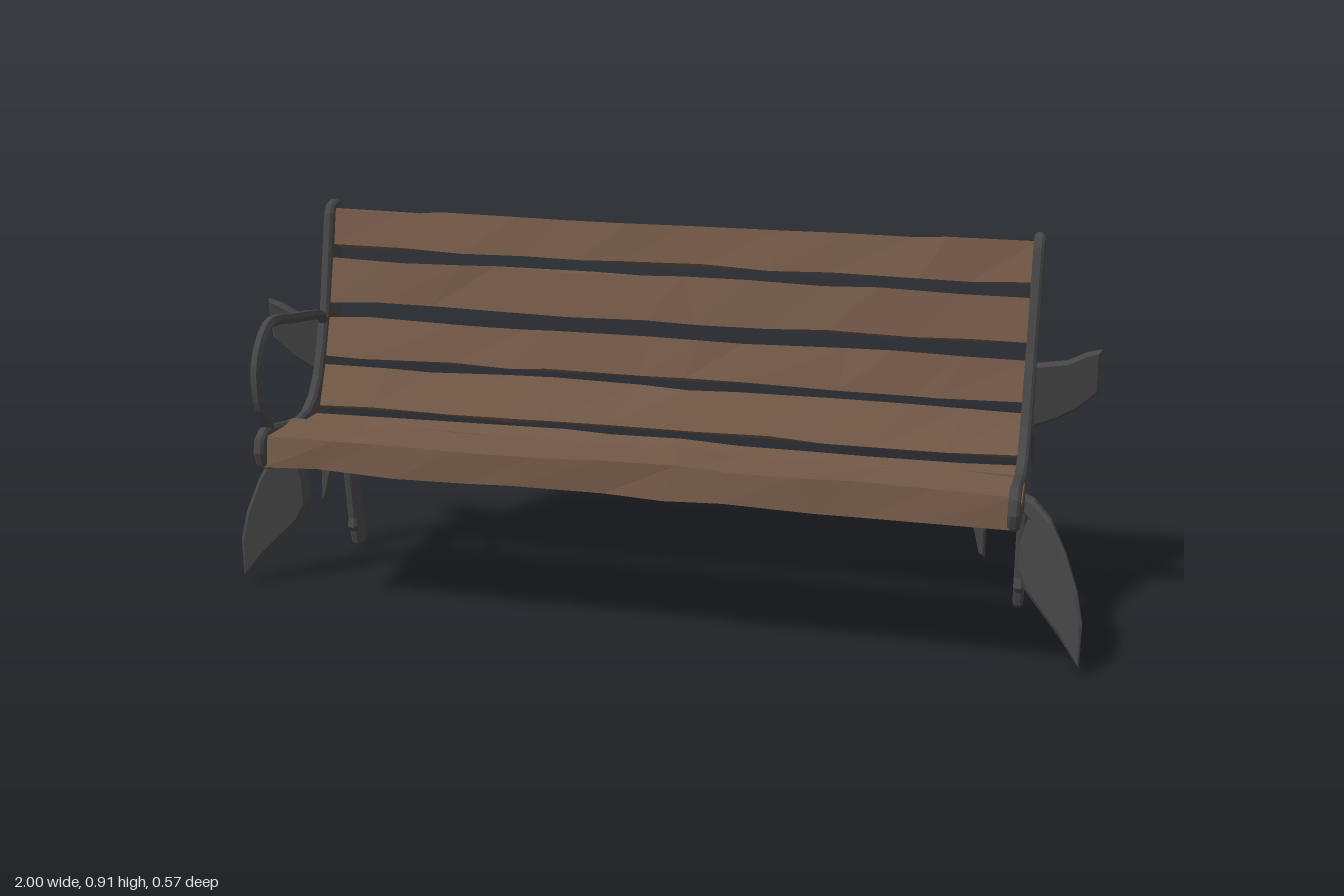
import * as THREE from 'three';

const iron = new THREE.MeshStandardMaterial({ color: 0x464647, flatShading: true });
iron.name = 'dark iron';
const wood = new THREE.MeshStandardMaterial({ color: 0x745a48, flatShading: true });
wood.name = 'weathered wood';

// repeatable noise in -1..1 for a position
function noise(x, y, z, seed) {
  const s = Math.sin(x * 127.1 + y * 311.7 + z * 74.7 + seed * 53.3) * 43758.5453;
  return (s - Math.floor(s)) * 2 - 1;
}

function add(parent, name, geometry, material) {
  const mesh = new THREE.Mesh(geometry, material);
  mesh.name = name;
  parent.add(mesh);
  return mesh;
}

// plate with softened edges, centred on its thickness
function plate(points, thickness, bevel) {
  const shape = new THREE.Shape(points.map(p => new THREE.Vector2(p[0], p[1])));
  const geo = new THREE.ExtrudeGeometry(shape, {
    depth: thickness - 2 * bevel, bevelThickness: bevel, bevelSize: bevel,
    bevelOffset: -bevel, bevelSegments: 1,
  });
  return geo.translate(0, 0, bevel - thickness / 2);
}

// move each vertex in z by a rule
function shearZ(geo, rule) {
  const p = geo.attributes.position;
  for (let i = 0; i < p.count; i++) p.setZ(i, p.getZ(i) + rule(p.getX(i), p.getY(i)));
  geo.computeVertexNormals();
  return geo;
}

// worn board: a segmented box with uneven edges
function board(length, height, depth, seed) {
  const geo = new THREE.BoxGeometry(length, height, depth, 11, 1, 1);
  const p = geo.attributes.position;
  for (let i = 0; i < p.count; i++) {
    const x = p.getX(i), y = p.getY(i), z = p.getZ(i);
    const kx = Math.round(x * 100), ky = Math.sign(y), kz = Math.sign(z);
    const inner = Math.abs(x) < length / 2 - 0.01 ? 1 : 0;
    p.setXYZ(i,
      x + inner * 0.05 * noise(kx, ky, kz, seed),
      y + 0.005 * noise(kx, ky, kz, seed + 1),
      z + 0.004 * noise(kx, ky, kz, seed + 2));
  }
  geo.computeVertexNormals();
  return geo;
}

// side frame outline as [z, y]
const FRAME = [
  [-0.2, 0.912], [-0.18, 0.905], [-0.166, 0.885], [-0.15, 0.82], [-0.112, 0.66], [-0.095, 0.62],
  [-0.075, 0.565], [-0.05, 0.51], [-0.02, 0.47], [0.02, 0.445], [0.07, 0.438], [0.13, 0.447],
  [0.2, 0.46], [0.25, 0.466], [0.277, 0.448], [0.286, 0.415], [0.275, 0.383], [0.24, 0.366],
  [0.12, 0.355], [0, 0.337], [-0.1, 0.335], [-0.163, 0.333], [-0.18, 0.31], [-0.2, 0.23],
  [-0.218, 0.085], [-0.212, 0.06], [-0.226, 0.045], [-0.235, 0.01], [-0.245, 0], [-0.283, 0.004],
  [-0.27, 0.13], [-0.24, 0.3], [-0.212, 0.4], [-0.2, 0.47], [-0.195, 0.61], [-0.2, 0.68],
  [-0.222, 0.78], [-0.245, 0.87], [-0.236, 0.897], [-0.22, 0.91],
];
// slanted strut on the outer face as [z, y]
const STRUT = [[-0.09, 0.482], [-0.165, 0.452], [-0.235, 0.398], [-0.22, 0.37], [-0.185, 0.388], [-0.13, 0.432]];
// fins and bracket outlines as [x, y] for the left side
const REAR_FIN = [[0.84, 0.462], [0.91, 0.492], [0.955, 0.52], [1, 0.565], [0.998, 0.668],
  [0.965, 0.658], [0.925, 0.636], [0.84, 0.622]];
const FRONT_FIN = [[0.84, 0.35], [0.842, 0.378], [0.88, 0.372], [0.92, 0.335], [0.955, 0.27],
  [0.985, 0.19], [1, 0.12], [1, 0.018], [0.95, 0.078], [0.872, 0.158], [0.852, 0.2],
  [0.854, 0.265], [0.868, 0.325]];
const BRACKET = [[0.667, 0.39], [0.775, 0.39], [0.778, 0.215], [0.765, 0.222], [0.752, 0.275],
  [0.738, 0.315], [0.69, 0.32], [0.665, 0.34]];

function buildEnd(side) {
  const left = side > 0;
  const end = new THREE.Group();
  end.name = left ? 'leftEnd' : 'rightEnd';
  const flip = pts => pts.map(([x, y]) => [x * side, y]);
  const frameX = left ? 0.847 : -0.838;

  const frame = add(end, 'sideFrame', plate(FRAME, 0.024, 0.006), iron);
  frame.rotation.y = -Math.PI / 2;
  frame.position.x = frameX;
  const strut = add(end, 'outerStrut', plate(STRUT, 0.024, 0.006), iron);
  strut.rotation.y = -Math.PI / 2;
  strut.position.x = frameX + 0.008 * side;

  // rear fin leans back toward its foot
  const rear = plate(flip(REAR_FIN), 0.026, 0.007);
  add(end, 'rearFin', shearZ(rear, (x, y) => -0.171 + (y - 0.56) * 0.2), iron);

  // front fin sweeps forward as it leaves the frame
  const sweep = left ? 0.6 : 0.47, start = left ? 0.018 : -0.006;
  const front = plate(flip(FRONT_FIN), 0.036, 0.008);
  add(end, 'frontFin', shearZ(front, x => start + (Math.abs(x) - 0.85) * sweep), iron);

  const bracket = add(end, 'innerBracket', plate(flip(BRACKET), 0.032, 0.006), iron);
  bracket.position.set(left ? 0 : -0.035, 0, -0.005);
  return end;
}

export function createModel() {
  const bench = new THREE.Group();
  bench.name = 'bench';
  bench.add(buildEnd(1), buildEnd(-1));

  // single armrest loop on the right end
  const path = new THREE.CatmullRomCurve3([[-0.115, 0.625], [-0.095, 0.648], [-0.06, 0.658], [0.05, 0.677],
    [0.16, 0.696], [0.195, 0.694], [0.24, 0.66], [0.266, 0.61], [0.264, 0.53], [0.238, 0.486], [0.212, 0.448]]
    .map(([z, y]) => new THREE.Vector3(-0.838, y, z)));
  add(bench, 'armrest', new THREE.TubeGeometry(path, 30, 0.013, 6, false), iron);

  // back and seat boards: [name, y, z, height, depth, tilt]
  const boards = [
    ['backBoard', 0.843, -0.199, 0.088, 0.052, -0.24],
    ['backBoard', 0.72, -0.167, 0.102, 0.05, -0.24],
    ['backBoard', 0.588, -0.128, 0.094, 0.052, -0.3],
    ['backBoard', 0.478, -0.079, 0.1, 0.05, -0.45],
    ['seatBoard', 0.39, 0.022, 0.075, 0.078, 0],
    ['seatBoard', 0.409, 0.177, 0.076, 0.166, -0.08],
  ];
  boards.forEach(([name, y, z, h, d, tilt], i) => {
    const mesh = add(bench, name, board(1.68, h, d, i * 7 + 3), wood);
    mesh.position.set(0.005, y, z);
    mesh.rotation.x = tilt;
  });

  // board end showing through the left frame
  const tip = new THREE.CylinderGeometry(1, 1, 0.004, 10).rotateZ(Math.PI / 2).scale(1, 0.019, 0.055);
  add(bench, 'boardEnd', tip, wood).position.set(0.859, 0.426, 0.174);
  return bench;
}
